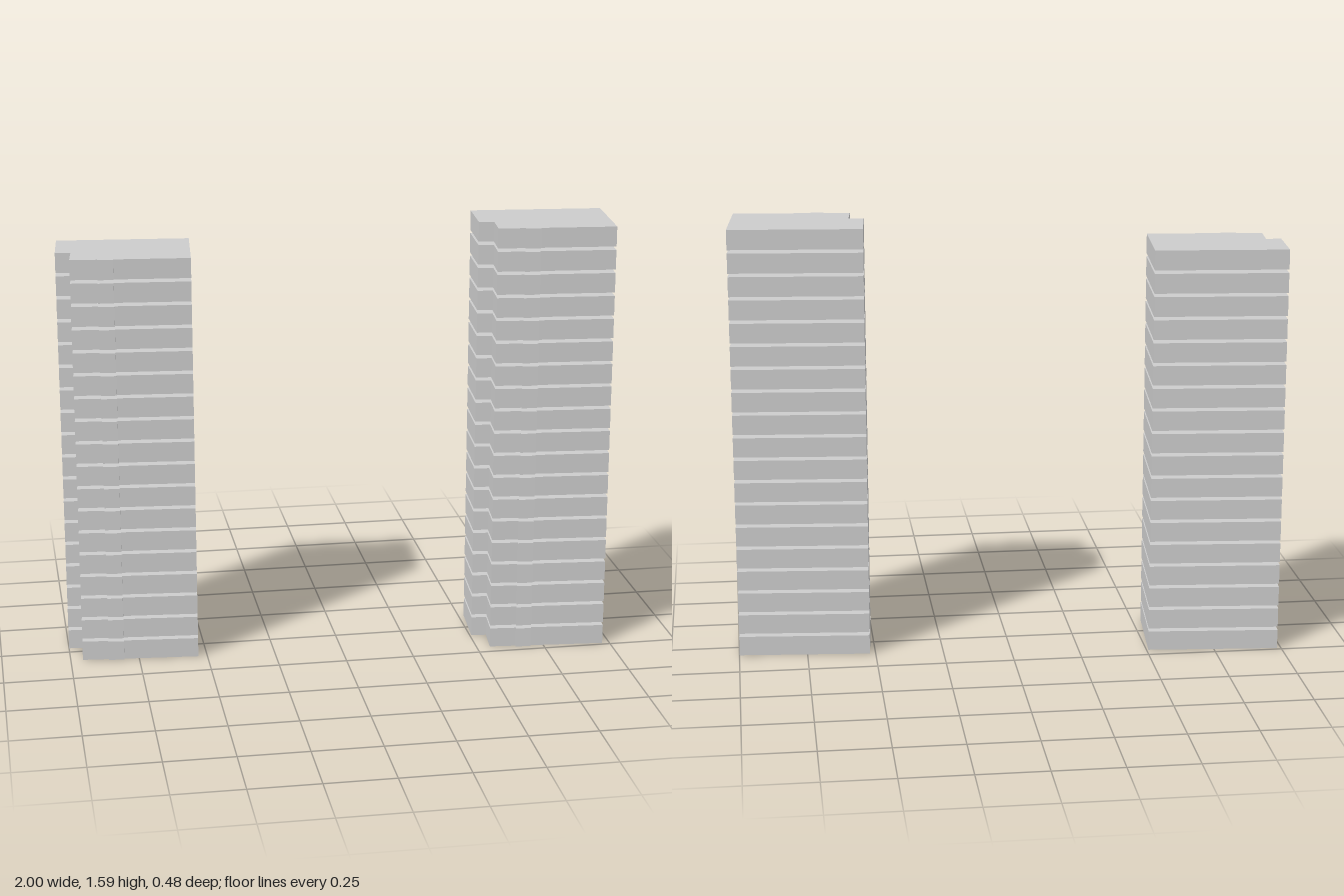
import * as THREE from 'three';

const FLOOR_HEIGHT = 0.072;
const FLOOR_PITCH = 0.0843;

// Floor plan as [x, z]: slightly turned block, notched front corner, shallow bay
const PLAN = [
  [-0.985, -0.24], [-0.507, -0.202], [-0.533, 0.118],
  [-0.804, 0.096], [-0.805, 0.104], [-0.861, 0.099], [-0.86, 0.091],
  [-0.956, 0.083], [-0.945, -0.032], [-1.0, -0.037],
];

export function createModel() {
  const model = new THREE.Group();
  model.name = 'twinTowers';
  const material = new THREE.MeshStandardMaterial({ color: 0xcccccc, flatShading: true });

  // One storey slab, extruded upward from the plan
  const shape = new THREE.Shape(PLAN.map(([x, z]) => new THREE.Vector2(x, -z)));
  const storey = new THREE.ExtrudeGeometry(shape, { depth: FLOOR_HEIGHT, bevelEnabled: false });
  storey.rotateX(-Math.PI / 2);

  // Stack of separate storeys with open gaps between them
  function addTower(name, floors, x, z) {
    const tower = new THREE.Group();
    tower.name = name;
    tower.position.set(x, 0, z);
    for (let i = 0; i < floors; i++) {
      const floor = new THREE.Mesh(storey, material);
      floor.name = `storey${i + 1}`;
      floor.position.y = i * FLOOR_PITCH;
      tower.add(floor);
    }
    model.add(tower);
  }

  addTower('rightTower', 18, 0, 0);
  addTower('leftTower', 19, 1.506, 0.12);
  return model;
}
